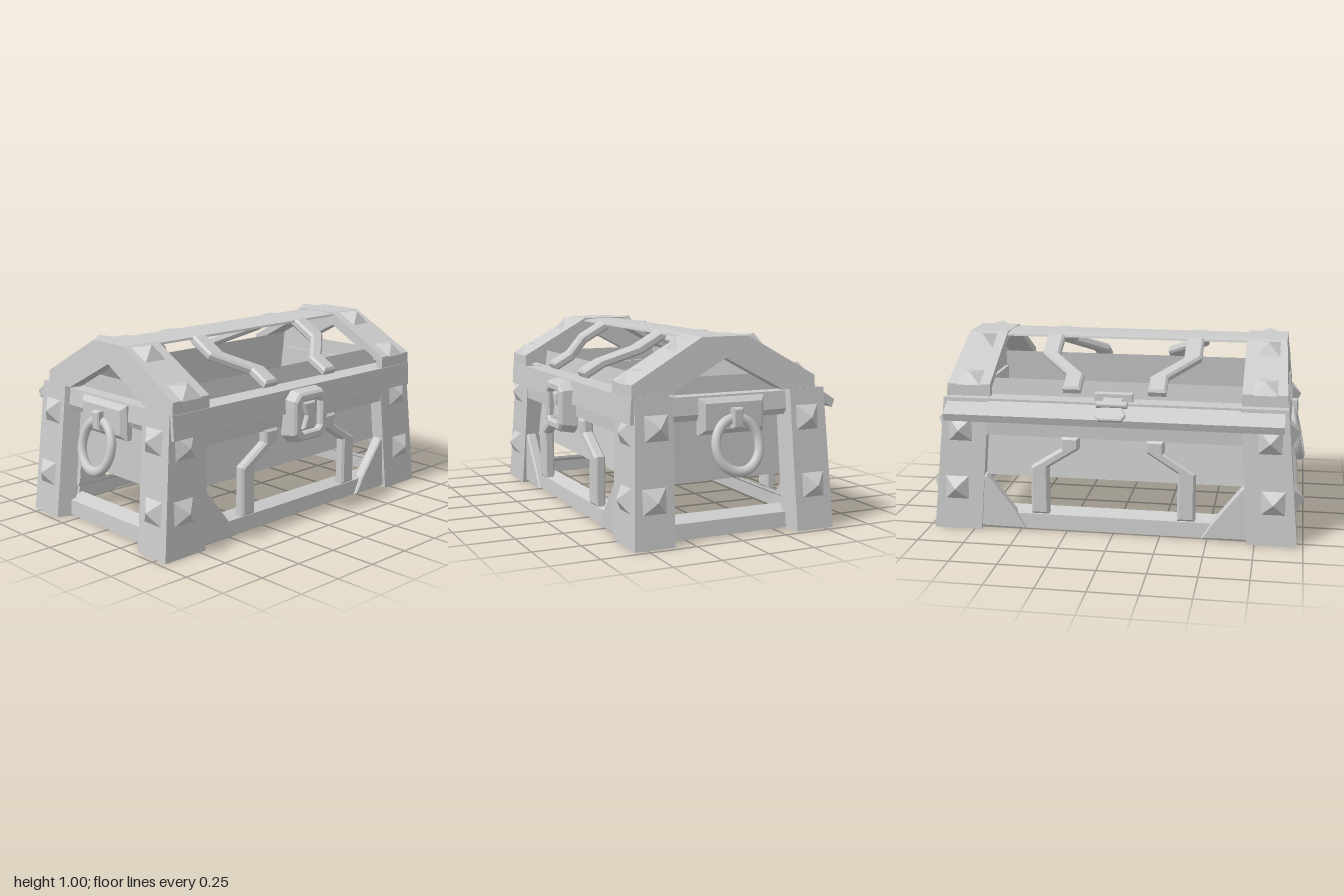
import * as THREE from 'three';

const flat = new THREE.MeshStandardMaterial({ color: 0xcccccc, flatShading: true });
const thin = new THREE.MeshStandardMaterial({ color: 0xcccccc, flatShading: true, side: THREE.DoubleSide });
const smooth = new THREE.MeshStandardMaterial({ color: 0xcccccc });

function add(parent, name, geometry, x = 0, y = 0, z = 0, material = flat) {
  const mesh = new THREE.Mesh(geometry, material);
  mesh.name = name;
  mesh.position.set(x, y, z);
  parent.add(mesh);
  return mesh;
}

function sub(parent, name, x, y, z, turn = 0) {
  const g = new THREE.Group();
  g.name = name;
  g.position.set(x, y, z);
  g.rotation.y = turn;
  parent.add(g);
  return g;
}

// Move every vertex by a rule
function reshape(geometry, rule) {
  const p = geometry.attributes.position;
  for (let i = 0; i < p.count; i++) p.setXYZ(i, ...rule(p.getX(i), p.getY(i), p.getZ(i)));
  return geometry;
}

const vectors = pts => pts.map(p => new THREE.Vector2(...p));

// Outline extruded from z = 0 to depth, with the bevel kept inside the outline
function slab(pts, depth, bevel = 0, hole = null) {
  const shape = new THREE.Shape(vectors(pts));
  if (hole) shape.holes.push(new THREE.Path(vectors(hole)));
  return new THREE.ExtrudeGeometry(shape, {
    depth: depth - 2 * bevel, bevelEnabled: bevel > 0, bevelSize: bevel,
    bevelThickness: bevel, bevelOffset: -bevel, bevelSegments: 1
  }).translate(0, 0, bevel);
}

// [z, y] profile run along x, centred
function beam(pts, length) {
  return slab(pts.map(([z, y]) => [-z, y]), length).translate(0, 0, -length / 2).rotateY(Math.PI / 2);
}

const octagon = (w, h, c) => [[-w, c - h], [c - w, -h], [w - c, -h], [w, c - h],
  [w, h - c], [w - c, h], [c - w, h], [-w, h - c]];
const rect = (w, h) => [[-w, -h], [w, -h], [w, h], [-w, h]];

// Four-sided pyramid stud pointing along a normal
function stud(parent, pos, normal, h = 0.05, w = 0.125) {
  const geo = new THREE.ConeGeometry(w / Math.SQRT2, h, 4).rotateY(Math.PI / 4).translate(0, h / 2, 0);
  const mesh = add(parent, 'stud', geo, ...pos);
  mesh.quaternion.setFromUnitVectors(new THREE.Vector3(0, 1, 0), new THREE.Vector3(...normal).normalize());
}

// Cranked strap given by centre points [x, v] and a constant width in x
function strap(parent, points, side, depth) {
  const w = 0.047;
  const left = points.map(([x, v]) => [side * x - w, v]);
  const right = points.map(([x, v]) => [side * x + w, v]).reverse();
  return add(parent, 'strap', slab([...left, ...right], depth, 0.012));
}

// Corner leg: thin folded plate tapering towards the top
function leg(parent, sx, sz) {
  const H = 0.72;
  const section = [[0.72, 0.47], [0.71, 0.557], [0.97, 0.557], [0.97, 0.345], [0.88, 0.31],
    [0.88, 0.33], [0.95, 0.36], [0.95, 0.537], [0.73, 0.537], [0.74, 0.47]];
  const geo = slab(section.map(([x, z]) => [sx * x, -sz * z]), H).rotateX(-Math.PI / 2);
  add(parent, 'cornerLeg', reshape(geo, (x, y, z) => [x * (1 - 0.07 * y / H), y, z * (1 - 0.06 * y / H)]));
  stud(parent, [sx * 0.84, 0.23, sz * 0.546], [0, 0.05, sz]);
  stud(parent, [sx * 0.815, 0.55, sz * 0.531], [0, 0.05, sz], 0.045);
  stud(parent, [sx * 0.948, 0.23, sz * 0.445], [sx, 0.09, 0]);
  stud(parent, [sx * 0.917, 0.575, sz * 0.42], [sx, 0.09, 0]);
}

function buildBody(root) {
  const body = sub(root, 'body', 0, 0, 0.0075);

  // Open inner box, flaring towards its base
  const box = new THREE.LatheGeometry(vectors([[0, 0], [Math.SQRT1_2, 0], [Math.SQRT1_2, 0.525]]), 4)
    .rotateY(Math.PI / 4).scale(1.6, 1, 0.84);
  add(body, 'innerBox', reshape(box, (x, y, z) => [x, y, y > 0 ? z * 0.85 : z]), 0, 0.27, 0, thin);

  for (const sx of [1, -1]) for (const sz of [1, -1]) leg(body, sx, sz);
  add(body, 'frontBand', beam([[0.543, 0.72], [0.55, 0.595], [0.51, 0.595], [0.51, 0.72]], 1.8));

  // Front and back frames
  for (const turn of [0, Math.PI]) {
    const half = sub(body, turn ? 'backFrame' : 'frontFrame', 0, 0, 0, turn);
    add(half, 'rim', beam([[0.515, 0.7], [0.53, 0.595], [0.527, 0.525], [0.45, 0.525], [0.425, 0.7]], 1.4));
    add(half, 'topRail', beam([[0.515, 0.718], [0.515, 0.69], [0.41, 0.69], [0.41, 0.718]], 1.77));
    add(half, 'bottomRail', beam([[0.52, 0.01], [0.515, 0.09], [0.45, 0.12], [0.45, 0.105], [0.495, 0.08], [0.5, 0.01]], 1.5));
    for (const s of [1, -1]) {
      add(half, 'gusset', slab([[s * 0.72, 0.01], [s * 0.47, 0.01], [s * 0.525, 0.1], [s * 0.68, 0.3], [s * 0.72, 0.3]], 0.06, 0.008), 0, 0, 0.475);
      strap(half, [[0.39, 0.1], [0.39, 0.36], [0.225, 0.465], [0.225, 0.53]], s, 0.06).position.z = 0.48;
    }
  }

  // Ends: rails and ring handles
  for (const turn of [0, Math.PI]) {
    const end = sub(body, turn ? 'rightEnd' : 'leftEnd', 0, 0, 0, turn);
    add(end, 'sideRim', slab([[0.78, 0.59], [0.87, 0.59], [0.885, 0.62], [0.875, 0.71], [0.78, 0.71]], 0.66), 0, 0, -0.33);
    add(end, 'sideBottomRail', slab([[0.88, 0.01], [0.9, 0.01], [0.895, 0.09], [0.82, 0.12], [0.82, 0.105], [0.875, 0.08]], 0.65), 0, 0, -0.325);
    add(end, 'handlePlate', slab(rect(0.18, 0.09), 0.075, 0.025).rotateY(Math.PI / 2), 0.84, 0.61, 0);
    const handle = sub(end, 'handle', 0, 0, turn ? 0.0075 : -0.0075);
    add(handle, 'handleBracket', slab(rect(0.028, 0.05), 0.06, 0.008).rotateY(Math.PI / 2), 0.89, 0.6, 0);
    const ringGeo = new THREE.TorusGeometry(0.12, 0.024, 12, 40).scale(1, 1.11, 1).rotateY(Math.PI / 2);
    add(handle, 'ringHandle', ringGeo, 0.942, 0.467, 0, smooth).rotation.z = 0.22;
  }
}

function buildLid(root) {
  const lid = sub(root, 'lid', 0, 0, 0.04);

  // End arches: a gable plate with a triangular opening, and a thin folded band
  const outer = [[0.507, 0.72], [0.507, 0.783], [0.127, 0.995], [-0.127, 0.995], [-0.507, 0.783], [-0.507, 0.72]];
  const opening = [[-0.318, 0.72], [0, 0.89], [0.318, 0.72]];
  const lining = [[-0.467, 0.72], [-0.467, 0.76], [-0.116, 0.955], [0.116, 0.955], [0.467, 0.76], [0.467, 0.72]];
  for (const s of [1, -1]) {
    // Outer face leans in with height
    const lean = (x, y, z) => [x * s > 0 ? x + s * (0.995 - y) * 0.08 : x, y, z];
    add(lid, 'archGable', reshape(beam([...outer, ...opening], 0.065), lean), s * 0.845, 0, 0);
    add(lid, 'archBand', beam([...outer, ...lining], 0.15), s * 0.738, 0, 0);
  }

  add(lid, 'ridgePlank', beam([[0.13, 0.975], [0.127, 0.986], [0.05, 0.992], [-0.05, 0.992], [-0.127, 0.986], [-0.13, 0.975]], 1.36));

  // Sloping sides: local y runs up the slope, local z points outward
  for (const turn of [0, Math.PI]) {
    const half = sub(lid, turn ? 'backSlope' : 'frontSlope', 0, 0, 0, turn);
    const slope = sub(half, 'slopeParts', 0, 0.783, 0.507);
    slope.rotation.x = -1.062;
    for (const s of [1, -1]) {
      strap(slope, [[0.225, 0], [0.225, 0.12], [0.385, 0.28], [0.385, 0.44]], s, 0.05).position.z = -0.05;
      stud(slope, [s * 0.78, 0.055, 0], [0, 0, 1], 0.035);
      stud(slope, [s * 0.78, 0.36, 0], [0, 0, 1], 0.045);
    }
  }
}

function buildLock(root) {
  const lock = sub(root, 'lock', 0, 0.575, 0.52);
  // Frame narrows towards the front
  const frame = slab(octagon(0.142, 0.145, 0.045), 0.1, 0.012, octagon(0.085, 0.092, 0.02));
  add(lock, 'lockFrame', reshape(frame, (x, y, z) => [x * (1 - 1.2 * z), y * (1 - 1.2 * z), z]));
  add(lock, 'lockPlate', slab(octagon(0.1, 0.11, 0.03), 0.06));
  add(lock, 'keyhole', slab([[-0.045, -0.07], [0.045, -0.07], [0.018, 0], [0.045, 0.07], [-0.045, 0.07], [-0.018, 0]], 0.03, 0.008), 0, 0, 0.055);
}

function buildHinge(root) {
  const hinge = sub(root, 'hinge', 0, 0, 0);
  add(hinge, 'backFlap', beam([[-0.505, 0.708], [-0.597, 0.65], [-0.583, 0.61], [-0.505, 0.655]], 1.77));
  add(hinge, 'upperLeaf', beam([[-0.45, 0.72], [-0.45, 0.765], [-0.482, 0.76], [-0.482, 0.72]], 0.2));
  add(hinge, 'knuckleArm', beam([[-0.47, 0.72], [-0.47, 0.745], [-0.53, 0.73], [-0.53, 0.71]], 0.1));
  add(hinge, 'hingePin', new THREE.CylinderGeometry(0.019, 0.019, 0.16, 12).rotateZ(Math.PI / 2), 0, 0.717, -0.53, smooth);
  const leaf = slab([[-0.05, -0.05], [0.05, -0.05], [0.08, 0.02], [0.06, 0.055], [-0.06, 0.055], [-0.08, 0.02]], 0.025, 0.006);
  add(hinge, 'lowerLeaf', leaf, 0, 0.669, -0.552).rotation.x = -2.165;
}

export function createModel() {
  const root = new THREE.Group();
  root.name = 'treasureChest';
  buildBody(root);
  buildLid(root);
  buildLock(root);
  buildHinge(root);
  return root;
}
